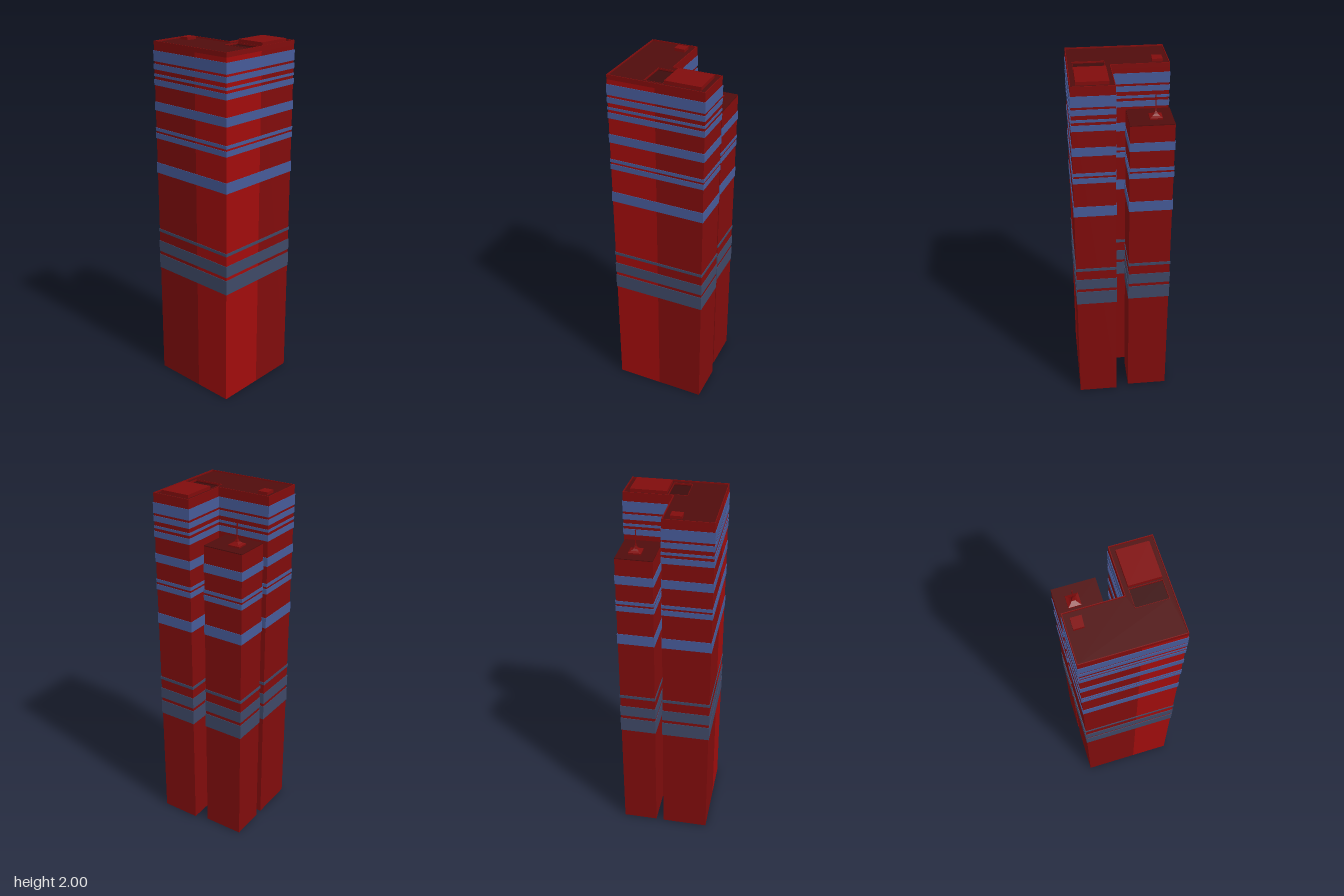
import * as THREE from 'three';

const material = (color) => new THREE.MeshStandardMaterial({ color });
const wallRed = material(0x800c0c);
const cornerRed = material(0xa00c0c);
const roofRed = material(0x500c0c);
const darkRoof = material(0x3c0c0c);
const upperBlue = material(0x465a98);
const lowerBlue = material(0x3e4866);

// Outlines as [x, z] corners; a positive offset grows the outline.
const lOutline = (o = 0) => [
  [-0.262 - o, 0.262 + o], [0.262 + o, 0.262 + o], [0.262 + o, -0.264 - o],
  [0.041 - o, -0.264 - o], [0.041 - o, 0 - o], [-0.262 - o, 0 - o],
];
const rect = (x0, x1, z0, z1) => [[x0, z1], [x1, z1], [x1, z0], [x0, z0]];
const annexOutline = (o = 0) => rect(-0.261 - o, -0.032 + o, -0.241 - o, -0.044 + o);

const toPoints = (outline) => outline.map(([x, z]) => new THREE.Vector2(x, -z));

// Upright prism from y0 to y1, with optional hole
function prism(name, outline, y0, y1, mat, hole) {
  const shape = new THREE.Shape(toPoints(outline));
  if (hole) shape.holes.push(new THREE.Path(toPoints(hole)));
  const geometry = new THREE.ExtrudeGeometry(shape, { depth: y1 - y0, bevelEnabled: false });
  geometry.rotateX(-Math.PI / 2).translate(0, y0, 0);
  const mesh = new THREE.Mesh(geometry, mat);
  mesh.name = name;
  return mesh;
}

// Window bands: bottom and top heights
const bands = [
  [0.675, 0.76], [0.78, 0.845], [0.903, 0.92], [1.26, 1.32], [1.46, 1.49], [1.502, 1.52],
  [1.617, 1.665], [1.755, 1.787], [1.803, 1.817], [1.84, 1.87], [1.883, 1.94],
];

function addBands(group, outline, top) {
  for (const [y0, y1] of bands) {
    if (y1 < top) group.add(prism('windowBand', outline(0.003), y0, y1, y1 < 1 ? lowerBlue : upperBlue));
  }
}

function createMainTower() {
  const g = new THREE.Group();
  g.name = 'mainTower';
  const top = 1.965;

  // Three wall blocks forming the L
  g.add(prism('frontWing', rect(-0.262, 0.041, 0, 0.262), 0, top, wallRed));
  g.add(prism('cornerBlock', rect(0.041, 0.262, 0, 0.262), 0, top, cornerRed));
  g.add(prism('backWing', rect(0.041, 0.262, -0.264, 0), 0, top, wallRed));
  addBands(g, lOutline, top);

  // Parapet, roof deck and sunken terrace
  const terrace = rect(0.068, 0.234, -0.03, 0.072);
  g.add(prism('parapet', lOutline(), top, 1.99, wallRed, lOutline(-0.004)));
  g.add(prism('roofDeck', lOutline(-0.004), top, 1.982, roofRed, terrace));
  g.add(prism('terraceFloor', terrace, top, top + 0.004, darkRoof));
  g.add(prism('terraceRim', terrace, 1.975, 1.984, wallRed, rect(0.07, 0.232, -0.028, 0.07)));

  // Rooftop boxes
  g.add(prism('penthouse', rect(0.068, 0.233, -0.231, -0.037), 1.982, 2, wallRed));
  const hatch = [[-0.23, 0.096], [-0.178, 0.096], [-0.174, 0.036], [-0.23, 0.036]];
  g.add(prism('roofHatch', hatch, 1.982, 1.997, wallRed));
  return g;
}

function createAnnex() {
  const g = new THREE.Group();
  g.name = 'annexTower';
  const top = 1.757;
  g.add(prism('annexWalls', annexOutline(), 0, top, wallRed));
  g.add(prism('annexRoof', annexOutline(), top, top + 0.004, roofRed));
  addBands(g, annexOutline, top);

  // Antenna on a flared square foot
  const profile = [[0.047, 0], [0.047, 0.008], [0.028, 0.014], [0.013, 0.022], [0.006, 0.036], [0.003, 0.05], [0.003, 0.12], [0, 0.12]];
  const geometry = new THREE.LatheGeometry(profile.map(([r, y]) => new THREE.Vector2(r, y)), 4, Math.PI / 4).toNonIndexed();
  geometry.computeVertexNormals();
  const antenna = new THREE.Mesh(geometry, wallRed);
  antenna.name = 'antenna';
  antenna.position.set(-0.172, top + 0.004, -0.15);
  g.add(antenna);
  return g;
}

export function createModel() {
  const model = new THREE.Group();
  model.name = 'towerBlock';
  model.add(createMainTower(), createAnnex());
  return model;
}
